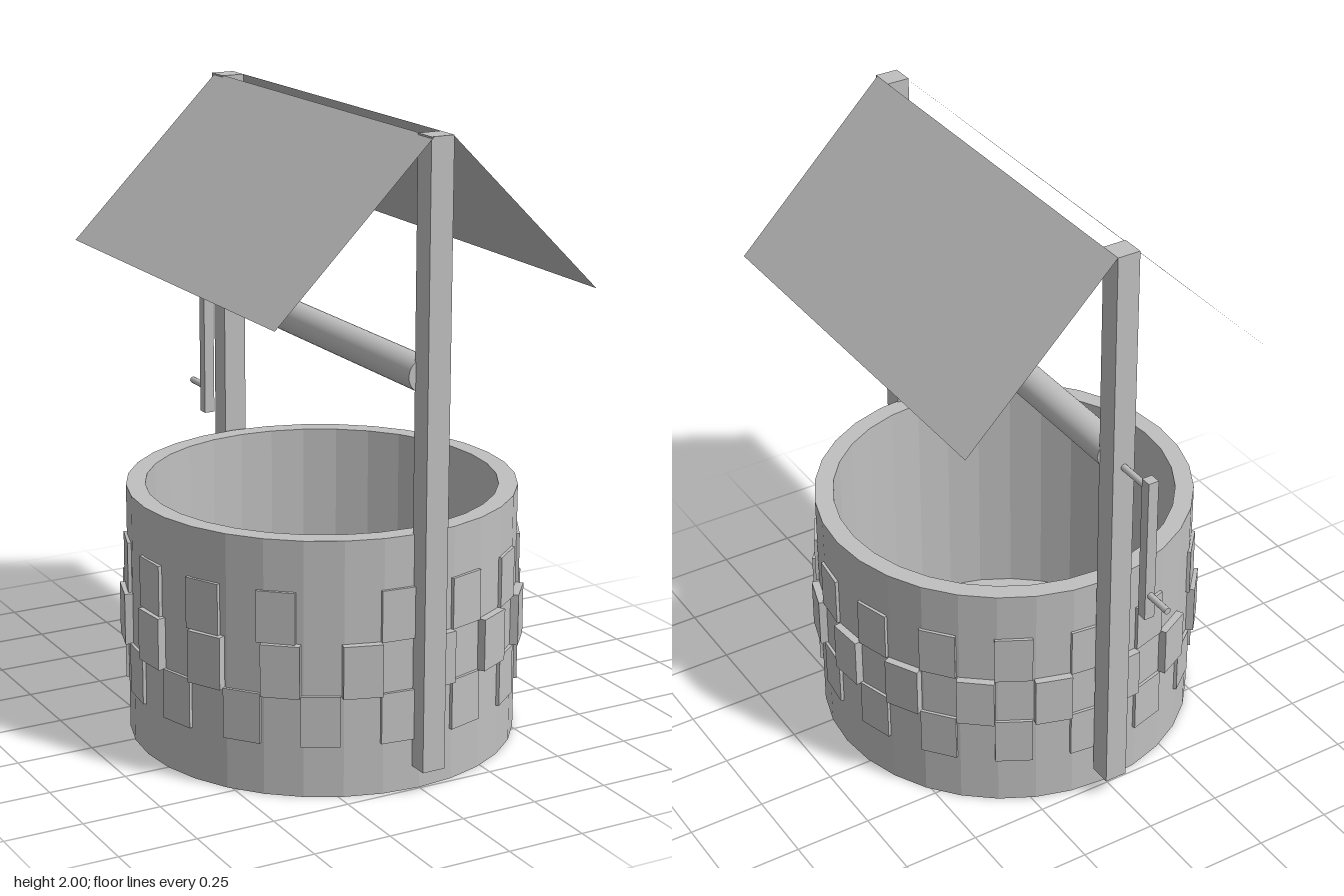
import * as THREE from 'three';

export function createModel() {
  const well = new THREE.Group();
  well.name = 'well';
  const grey = new THREE.MeshStandardMaterial({ color: 0xc0c0c0 });
  grey.name = 'stone grey';
  const greySheet = new THREE.MeshStandardMaterial({ color: 0xc0c0c0, side: THREE.DoubleSide });
  greySheet.name = 'roof grey';

  const add = (name, geometry, x = 0, y = 0, z = 0, material = grey, parent = well) => {
    const mesh = new THREE.Mesh(geometry, material);
    mesh.name = name;
    mesh.position.set(x, y, z);
    parent.add(mesh);
    return mesh;
  };
  // Box given by its limits on each axis
  const box = (name, [x0, x1], [y0, y1], [z0, z1]) =>
    add(name, new THREE.BoxGeometry(x1 - x0, y1 - y0, z1 - z0),
      (x0 + x1) / 2, (y0 + y1) / 2, (z0 + z1) / 2);
  // Cylinder lying along z
  const rod = (name, radius, z0, z1, x, y, sides) =>
    add(name, new THREE.CylinderGeometry(radius, radius, z1 - z0, sides).rotateX(Math.PI / 2),
      x, y, (z0 + z1) / 2);

  // Faceted ring wall with a closed floor
  const centreZ = 0.13;
  const profile = [[0, 0], [0.615, 0], [0.615, 0.81], [0.555, 0.81], [0.555, 0.01], [0, 0.01]]
    .map(([r, y]) => new THREE.Vector2(r, y));
  const wall = new THREE.LatheGeometry(profile, 32).toNonIndexed();
  wall.computeVertexNormals();
  add('wall', wall, 0, 0, centreZ);

  // Raised stones in three staggered rows, angles in degrees from the front
  const stones = new THREE.Group();
  stones.name = 'stones';
  stones.position.z = centreZ;
  well.add(stones);
  const series = (start, count) => Array.from({ length: count }, (_, i) => start + 22.5 * i);
  const rows = [
    { name: 'lowerStone', y0: 0.165, y1: 0.325, reach: 0.622, angles: series(-6.5, 16) },
    { name: 'middleStone', y0: 0.322, y1: 0.488, reach: 0.637, angles: series(5, 16) },
    { name: 'upperStone', y0: 0.488, y1: 0.65, reach: 0.622, angles: [...series(-6.5, 10), ...series(-131.5, 5)] },
  ];
  for (const { name, y0, y1, reach, angles } of rows) {
    for (const degrees of angles) {
      const geometry = new THREE.BoxGeometry(0.12, y1 - y0, 0.05).translate(0, 0, reach - 0.025);
      const stone = add(name, geometry, 0, (y0 + y1) / 2, 0, grey, stones);
      stone.rotation.y = THREE.MathUtils.degToRad(degrees);
    }
  }

  // Posts
  box('frontPost', [-0.025, 0.05], [0.075, 2], [0.733, 0.808]);
  box('backPost', [-0.025, 0.05], [0.075, 2], [-0.567, -0.492]);

  // Thin roof panels sloping away from the posts
  const roofPanel = (name, topX, side, z0, z1) => {
    const panel = new THREE.PlaneGeometry(Math.hypot(0.505, 0.5), z1 - z0).rotateX(-Math.PI / 2);
    const mesh = add(name, panel, topX + side * 0.2525, 1.75, (z0 + z1) / 2, greySheet);
    mesh.rotation.z = -side * Math.atan2(0.5, 0.505);
  };
  roofPanel('leftRoof', 0.05, 1, -0.567, 0.8);
  roofPanel('rightRoof', -0.02, -1, -0.555, 0.813);

  // Rope drum and its front pin
  rod('drum', 0.053, -0.495, 0.738, 0.005, 1.29, 32);
  rod('drumPin', 0.03, 0.73, 0.765, 0.005, 1.29, 16);

  // Crank at the back
  rod('crankShaft', 0.011, -0.69, -0.56, 0.012, 1.28, 12);
  box('crankArm', [-0.005, 0.03], [0.82, 1.315], [-0.722, -0.686]);
  rod('crankHandle', 0.011, -0.813, -0.72, 0.012, 0.905, 12);

  return well;
}
